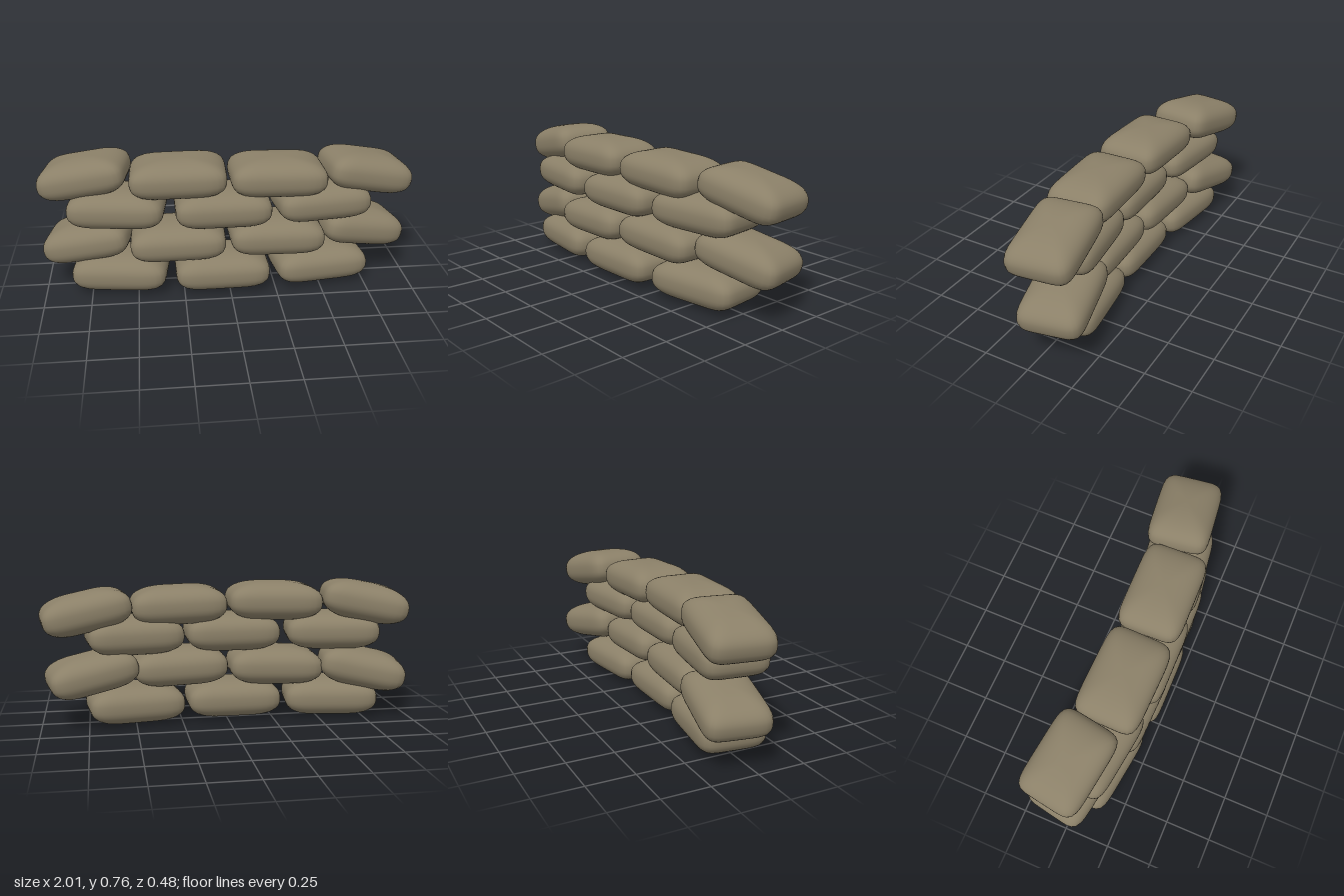
import * as THREE from 'three';
import { mergeVertices } from 'three/addons/utils/BufferGeometryUtils.js';

// Stuffed bag: a sphere pushed out to a squarish plan with a rounded profile
function bagGeometry(halfLength, halfHeight, halfDepth) {
  const planPower = 6.5, profile = 0.8;
  let geo = new THREE.SphereGeometry(1, 64, 28);
  geo.deleteAttribute('uv');
  geo.deleteAttribute('normal');
  geo = mergeVertices(geo, 1e-5);
  const pos = geo.attributes.position;
  for (let i = 0; i < pos.count; i++) {
    const x = pos.getX(i), y = pos.getY(i), z = pos.getZ(i);
    const ring = Math.hypot(x, z);
    const angle = Math.atan2(z, x);
    const c = Math.cos(angle), s = Math.sin(angle);
    const plan = Math.pow(Math.abs(c) ** planPower + Math.abs(s) ** planPower, -1 / planPower);
    const r = plan * Math.pow(ring, profile);
    const h = Math.sign(y) * Math.pow(Math.abs(y), profile);
    pos.setXYZ(i, c * r * halfLength, h * halfHeight, s * r * halfDepth);
  }
  geo.computeVertexNormals();
  return geo;
}

// Each bag: centre x, y, z, then yaw and sideways tilt
const rows = [
  [[-0.588, 0.106, 0.015, -0.13, 0], [-0.04, 0.108, 0.058, 0.01, 0], [0.502, 0.106, 0.015, 0.13, 0]],
  [[-0.757, 0.268, -0.04, -0.18, 0.2], [-0.275, 0.285, 0.045, -0.03, 0.03],
    [0.257, 0.297, 0.045, 0.03, -0.03], [0.732, 0.288, -0.042, 0.2, -0.19]],
  [[-0.593, 0.478, 0.018, -0.13, 0], [-0.035, 0.477, 0.062, 0.01, 0], [0.502, 0.478, 0.018, 0.13, 0]],
  [[-0.76, 0.638, -0.04, -0.16, 0.19], [-0.268, 0.645, 0.04, -0.03, 0.02],
    [0.26, 0.633, 0.04, 0.02, -0.03], [0.755, 0.613, -0.028, 0.13, -0.2]],
];

export function createModel() {
  const wall = new THREE.Group();
  wall.name = 'sandbagWall';
  const canvas = new THREE.MeshStandardMaterial({ color: 0x8b8068 });
  canvas.name = 'drab canvas';
  const bag = bagGeometry(0.256, 0.106, 0.175);
  const endBag = bagGeometry(0.236, 0.106, 0.17);

  rows.forEach((row, r) => {
    const course = new THREE.Group();
    course.name = `course${r + 1}`;
    row.forEach(([x, y, z, yaw, tilt], i) => {
      const mesh = new THREE.Mesh(Math.abs(tilt) > 0.1 ? endBag : bag, canvas);
      mesh.name = `sandbag${i + 1}`;
      mesh.position.set(x, y, z);
      mesh.rotation.set(0, yaw, tilt);
      course.add(mesh);
    });
    wall.add(course);
  });
  return wall;
}
